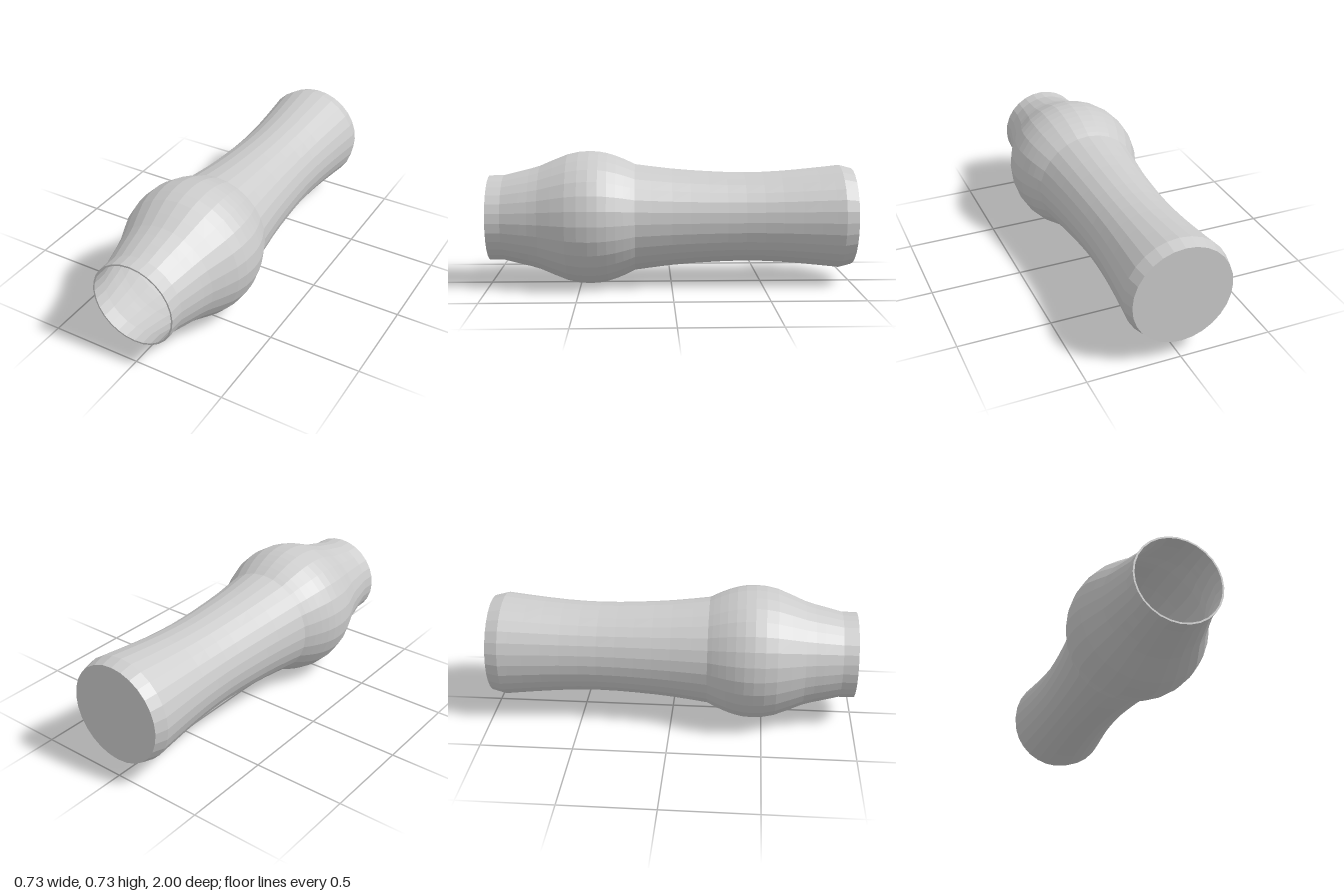
import * as THREE from 'three';

const SIDES = 28;
const AXIS_Y = 0.367;
const WALL = 0.009;

// Smooth run of profile points [z, radius] from back to front
function smoothProfile(points, steps) {
  const curve = new THREE.SplineCurve(points.map(([z, r]) => new THREE.Vector2(r, z)));
  return curve.getPoints(steps);
}

// Turn a profile around the z axis
function turned(name, profile, material) {
  const geometry = new THREE.LatheGeometry(profile, SIDES);
  geometry.rotateX(Math.PI / 2);
  const mesh = new THREE.Mesh(geometry, material);
  mesh.name = name;
  mesh.position.y = AXIS_Y;
  return mesh;
}

export function createModel() {
  const group = new THREE.Group();
  group.name = 'hollowVessel';
  const material = new THREE.MeshStandardMaterial({ color: 0xcccccc, flatShading: true });

  // Long waisted body, from the flared foot to the shoulder
  const body = smoothProfile([
    [-0.93, 0.286], [-0.8, 0.272], [-0.6, 0.254], [-0.4, 0.247],
    [-0.2, 0.254], [0, 0.269], [0.2, 0.294],
  ], 12);

  // Round bulb running into the neck
  const bulb = smoothProfile([
    [0.2, 0.294], [0.26, 0.323], [0.35, 0.355], [0.45, 0.367], [0.57, 0.349],
    [0.72, 0.287], [0.82, 0.26], [0.92, 0.235],
  ], 14).slice(1);

  const rim = new THREE.Vector2(0.234, 1);
  const foot = new THREE.Vector2(0.268, -1);
  const outer = [foot, ...body, ...bulb, rim];

  // Inner wall follows the outer one, down to a flat floor
  const inner = outer.slice(1).reverse().map((p) => new THREE.Vector2(p.x - WALL, p.y));
  const floor = [new THREE.Vector2(foot.x - WALL, -0.985), new THREE.Vector2(0, -0.985)];

  group.add(turned('outerWall', [new THREE.Vector2(0, -1), ...outer], material));
  group.add(turned('rim', [rim, inner[0]], material));
  group.add(turned('innerWall', [...inner, ...floor], material));
  return group;
}
